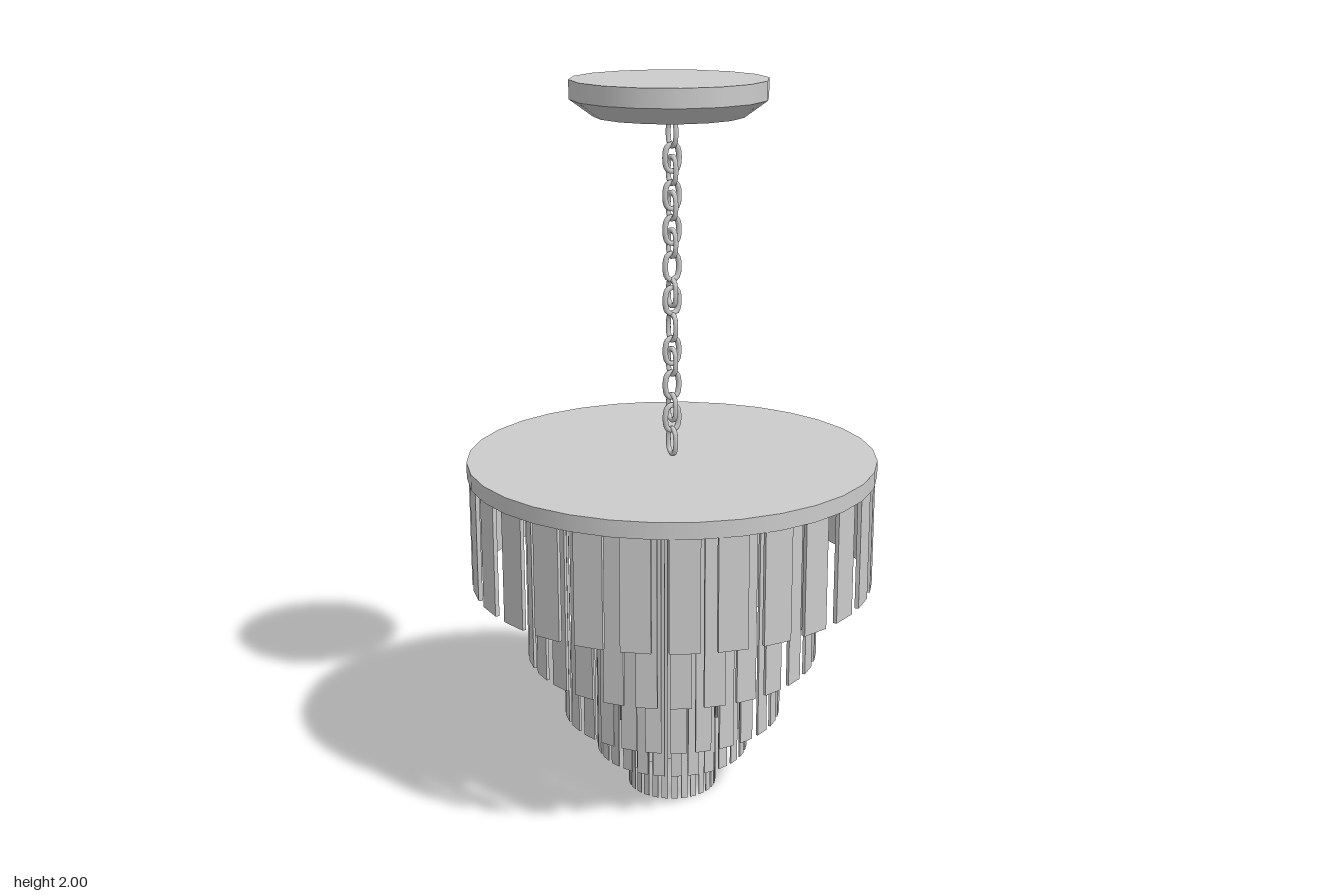
import * as THREE from 'three';

const metal = new THREE.MeshStandardMaterial({ color: 0xcccccc });
const flat = new THREE.MeshStandardMaterial({ color: 0xcccccc, flatShading: true });

function add(parent, name, geometry, material, x = 0, y = 0, z = 0) {
  const mesh = new THREE.Mesh(geometry, material);
  mesh.name = name;
  mesh.position.set(x, y, z);
  parent.add(mesh);
  return mesh;
}

// Elongated chain link in the xy plane
function linkGeometry(width, height, wire) {
  const r = width / 2 - wire;
  const straight = height / 2 - wire - r;
  const points = [];
  for (let i = 0; i < 10; i++) {
    const a = (i % 5) * Math.PI / 4 + (i < 5 ? 0 : Math.PI);
    points.push(new THREE.Vector3(r * Math.cos(a), r * Math.sin(a) + (i < 5 ? straight : -straight), 0));
  }
  const path = new THREE.CatmullRomCurve3(points, true);
  return new THREE.TubeGeometry(path, 24, wire, 6, true);
}

export function createModel() {
  const model = new THREE.Group();
  model.name = 'tieredChandelier';

  // Ceiling canopy: straight rim over a tapered underside
  const canopy = new THREE.Group();
  canopy.name = 'ceilingCanopy';
  canopy.position.set(-0.005, 0, -0.005);
  model.add(canopy);
  add(canopy, 'canopyRim', new THREE.CylinderGeometry(0.262, 0.262, 0.05, 16), metal, 0, 1.975, 0);
  add(canopy, 'canopyTaper', new THREE.CylinderGeometry(0.262, 0.2, 0.045, 16), metal, 0, 1.9275, 0);

  // Chain: links alternate between facing the front and facing the side
  const chain = new THREE.Group();
  chain.name = 'chain';
  model.add(chain);
  const link = linkGeometry(0.054, 0.086, 0.0075);
  const frontLinks = [1.796, 1.697, 1.605, 1.507, 1.415, 1.277, 1.182, 1.089];
  const sideLinks = [1.862, 1.764, 1.67, 1.57, 1.436, 1.342, 1.247, 1.118, 1.023];
  frontLinks.forEach((y) => add(chain, 'frontFacingLink', link, metal, 0, y, 0));
  sideLinks.forEach((y) => {
    add(chain, 'sideFacingLink', link, metal, 0, y, 0).rotation.y = Math.PI / 2;
  });

  // Round plate that carries the hanging strips
  add(model, 'topPlate', new THREE.CylinderGeometry(0.562, 0.562, 0.045, 32), metal, 0, 0.9575, 0);

  // Concentric rings of flat strips, longer towards the middle
  const top = 0.936;
  const count = 28;
  const tiers = [
    { radius: 0.55, bottom: 0.628, width: 0.08 },
    { radius: 0.402, bottom: 0.408, width: 0.058 },
    { radius: 0.303, bottom: 0.23, width: 0.044 },
    { radius: 0.212, bottom: 0.115, width: 0.031 },
    { radius: 0.124, bottom: 0, width: 0.018 },
  ];
  tiers.forEach(({ radius, bottom, width }, t) => {
    const ring = new THREE.Group();
    ring.name = 'stripTier' + (t + 1);
    model.add(ring);
    const depth = width * 0.14;
    const strip = new THREE.BoxGeometry(width, top - bottom, depth);
    for (let i = 0; i < count; i++) {
      const a = (i / count) * Math.PI * 2;
      const mesh = add(ring, 'strip', strip, flat, Math.sin(a) * radius, (top + bottom) / 2, Math.cos(a) * radius);
      mesh.rotation.y = a;
    }
  });

  return model;
}
